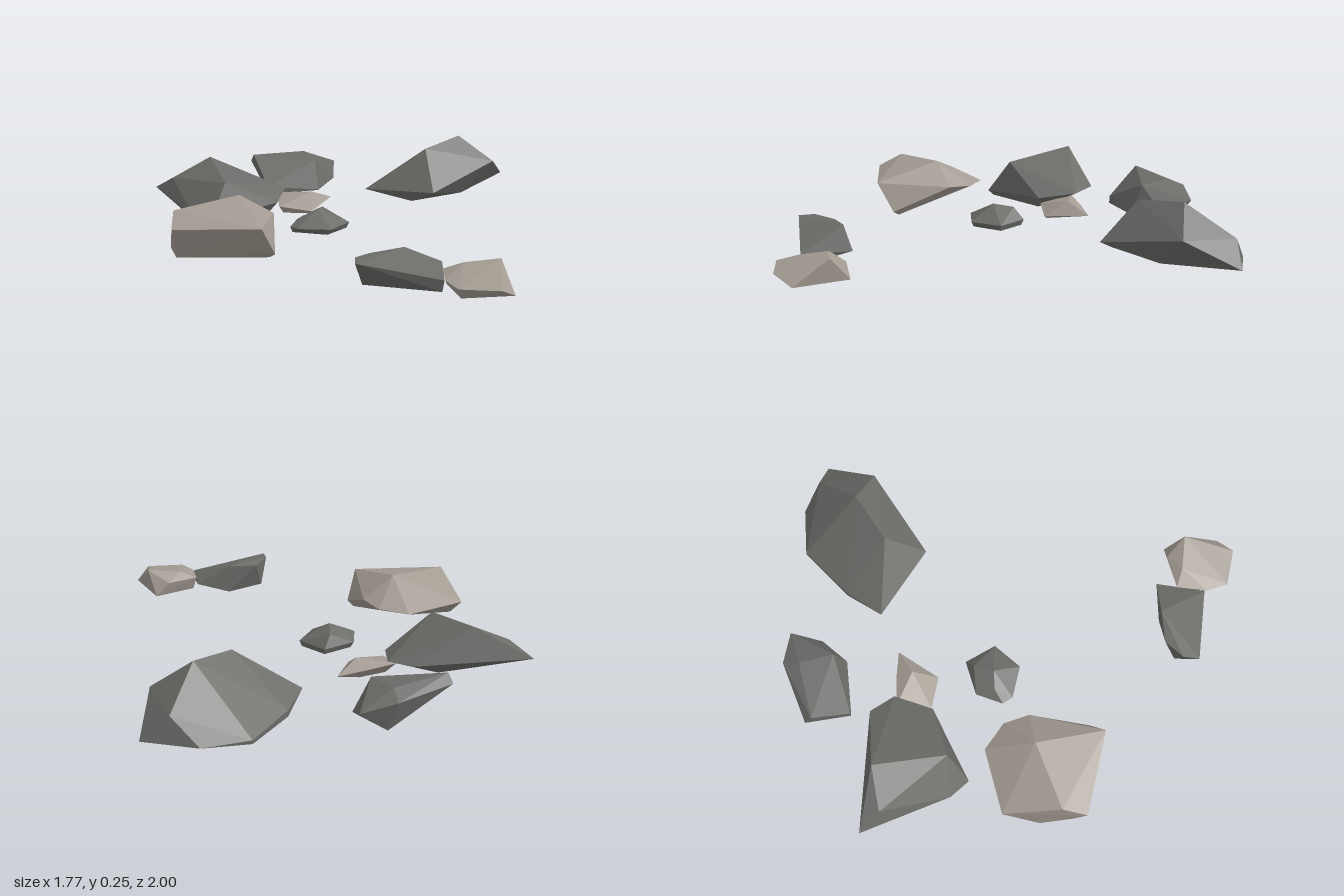
import * as THREE from 'three';
import { ConvexGeometry } from 'three/addons/geometries/ConvexGeometry.js';

const darkStone = new THREE.MeshStandardMaterial({ color: 0x6b6b68 });
darkStone.name = 'darkStone';
const paleStone = new THREE.MeshStandardMaterial({ color: 0xa39b92 });
paleStone.name = 'paleStone';

// A faceted rock: a rim [x, z] lying on a tilted plane, base points [x, z]
// touching the ground, and a few crest points [x, y, z].
function makeRock(name, material, { rim, height, tiltX = 0, tiltZ = 0, base, crest }) {
  const centre = new THREE.Vector2();
  rim.forEach(([x, z]) => centre.add(new THREE.Vector2(x, z).divideScalar(rim.length)));
  const points = [
    ...crest.map((c) => new THREE.Vector3(...c)),
    ...base.map(([x, z]) => new THREE.Vector3(x, 0, z)),
    ...rim.map(([x, z]) => {
      const y = height + tiltX * (x - centre.x) + tiltZ * (z - centre.y);
      return new THREE.Vector3(x, Math.max(0.005, y), z);
    }),
  ];
  const mesh = new THREE.Mesh(new ConvexGeometry(points), material);
  mesh.name = name;
  return mesh;
}

export function createModel() {
  const group = new THREE.Group();
  group.name = 'scatteredRocks';

  // Large wedge on the left side
  group.add(makeRock('largeRock', darkStone, {
    rim: [[0.885, -0.7], [0.7, -0.83], [0.5, -0.85], [0.28, -0.7], [0.15, -0.565], [0.4, -0.33]],
    height: 0.03, tiltZ: 0.08,
    base: [[0.5, -0.85], [0.28, -0.7], [0.6, -0.5], [0.33, -0.43]],
    crest: [[0.42, 0.225, -0.495], [0.62, 0.253, -0.59], [0.78, 0.125, -0.74], [0.76, 0.14, -0.5]],
  }));

  // Ridged rock with a long rear spike
  group.add(makeRock('spikedRock', darkStone, {
    rim: [[-0.785, -0.785], [-0.285, -0.67], [-0.235, -0.56], [-0.31, -0.41], [-0.635, -0.31], [-0.69, -0.395]],
    height: 0.055, tiltX: 0.06, tiltZ: -0.12,
    base: [[-0.62, -0.33], [-0.35, -0.43], [-0.45, -0.6], [-0.68, -0.42]],
    crest: [[-0.55, 0.215, -0.69], [-0.55, 0.17, -0.38], [-0.725, 0.13, -0.69]],
  }));

  // Broad pale boulder, undercut at the back
  group.add(makeRock('paleBoulder', paleStone, {
    rim: [[-0.885, 0.14], [-0.55, 0.28], [-0.425, -0.02], [-0.44, -0.13], [-0.535, -0.225], [-0.815, -0.2]],
    height: 0.12, tiltZ: 0.08,
    base: [[-0.855, -0.05], [-0.86, 0.09], [-0.5, 0.2]],
    crest: [[-0.57, 0.21, -0.02], [-0.855, 0.185, 0.04], [-0.485, 0.02, 0.23]],
  }));

  // Small stones between the big ones
  group.add(makeRock('smallDarkRock', darkStone, {
    rim: [[-0.27, -0.22], [-0.12, -0.24], [-0.07, -0.105], [-0.18, -0.015], [-0.31, -0.07], [-0.33, -0.115]],
    height: 0.025,
    base: [[-0.26, -0.21], [-0.125, -0.23], [-0.08, -0.11], [-0.19, -0.03], [-0.32, -0.115]],
    crest: [[-0.2, 0.09, -0.13], [-0.16, 0.075, -0.21], [-0.27, 0.06, -0.14]],
  }));
  group.add(makeRock('smallPaleRock', paleStone, {
    rim: [[-0.275, -0.56], [-0.14, -0.54], [-0.03, -0.515], [-0.165, -0.365], [-0.3, -0.415]],
    height: 0.035, tiltX: -0.08, tiltZ: -0.2,
    base: [[-0.26, -0.5], [-0.14, -0.5], [-0.17, -0.38], [-0.28, -0.42]],
    crest: [[-0.14, 0.075, -0.47]],
  }));

  // Rear rock leaning forward
  group.add(makeRock('rearRock', darkStone, {
    rim: [[-0.3, -0.94], [-0.025, -1], [0.115, -0.955], [0.075, -0.83], [-0.025, -0.74], [-0.265, -0.755]],
    height: 0.065, tiltX: -0.1, tiltZ: -0.45,
    base: [[0, -0.97], [-0.265, -0.755], [-0.025, -0.75]],
    crest: [[-0.295, 0.155, -0.91], [-0.03, 0.14, -0.785], [-0.045, 0.15, -0.93]],
  }));

  // Front pair
  group.add(makeRock('frontDarkRock', darkStone, {
    rim: [[-0.305, 0.73], [-0.285, 0.665], [-0.205, 0.605], [0.08, 0.63], [0.015, 0.83]],
    height: 0.09, tiltX: -0.18, tiltZ: -0.1,
    base: [[-0.25, 0.645], [-0.07, 0.615], [0.01, 0.82]],
    crest: [[-0.07, 0.125, 0.615]],
  }));
  group.add(makeRock('frontPaleRock', paleStone, {
    rim: [[0.05, 0.715], [0.195, 0.7], [0.18, 0.995], [0.03, 0.935], [0.015, 0.84]],
    height: 0.05, tiltZ: -0.05,
    base: [[0.255, 0.705], [0.255, 0.945], [0.05, 0.91], [0.06, 0.73]],
    crest: [[0.26, 0.1, 0.79], [0.12, 0.085, 0.75]],
  }));

  return group;
}
